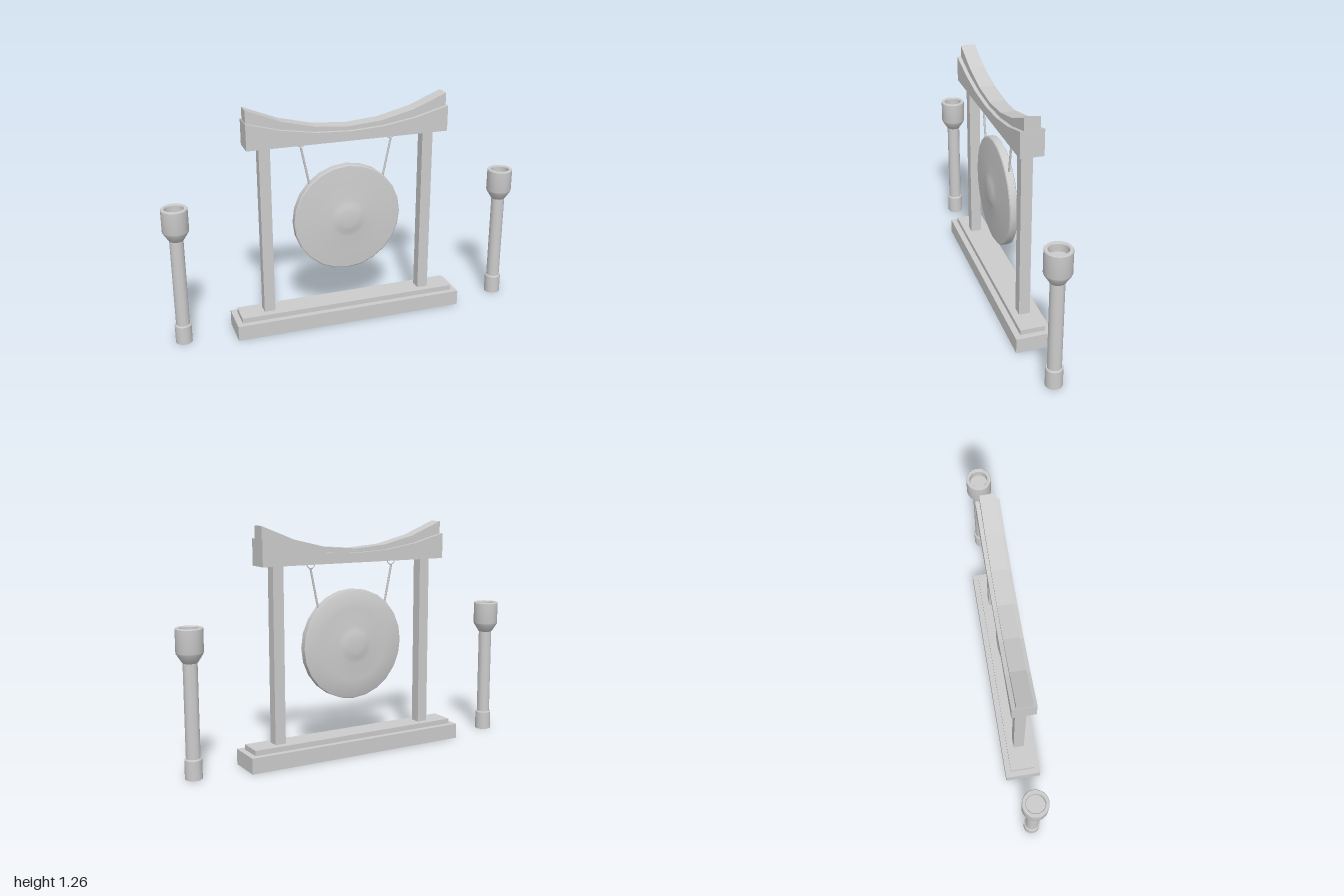
import * as THREE from 'three';
import { toCreasedNormals } from 'three/addons/utils/BufferGeometryUtils.js';

const grey = new THREE.MeshStandardMaterial({ color: 0xcccccc });

function add(parent, name, geometry, x = 0, y = 0, z = 0) {
  const mesh = new THREE.Mesh(geometry, grey);
  mesh.name = name;
  mesh.position.set(x, y, z);
  parent.add(mesh);
  return mesh;
}

// Box resting on height y0
function block(parent, name, w, y0, y1, d, x = 0) {
  return add(parent, name, new THREE.BoxGeometry(w, y1 - y0, d), x, (y0 + y1) / 2);
}

function lathe(profile, sides) {
  const points = profile.map(([r, y]) => new THREE.Vector2(r, y));
  return toCreasedNormals(new THREE.LatheGeometry(points, sides), 0.5);
}

// Beam outline: six straight segments per sagging edge, extruded along z
function saggingBeam(half, top, bottom, depth) {
  const shape = new THREE.Shape();
  const n = 6;
  for (let i = 0; i <= n; i++) {
    const t = (i / n) * 2 - 1;
    if (i === 0) shape.moveTo(t * half, bottom(t));
    else shape.lineTo(t * half, bottom(t));
  }
  for (let i = n; i >= 0; i--) {
    const t = (i / n) * 2 - 1;
    shape.lineTo(t * half, top(t));
  }
  return new THREE.ExtrudeGeometry(shape, { depth, bevelEnabled: false }).translate(0, 0, -depth / 2);
}

export function createModel() {
  const group = new THREE.Group();
  group.name = 'gongSet';

  // Stepped base
  block(group, 'base', 1.3, 0, 0.085, 0.2);
  block(group, 'baseStep', 1.236, 0.085, 0.113, 0.136);

  // Curved crossbeam with a narrower cap following its sag
  const sag = (t) => 1.108 + 0.089 * t * t;
  add(group, 'crossbeam', saggingBeam(0.555, sag, () => 1.057, 0.124));
  add(group, 'crossbeamCap', saggingBeam(0.55, (t) => 1.13 + 0.133 * t * t, (t) => sag(t) - 0.01, 0.082));

  // Domed gong disc with a raised boss on both faces
  const face = [[0.302, 0.02], [0.296, 0.024], [0.2, 0.032], [0.105, 0.037],
    [0.085, 0.04], [0.065, 0.046], [0.045, 0.049], [0, 0.05]];
  const back = face.map(([r, z]) => [r, -z * 0.9]).reverse();
  const gong = lathe([...back, ...face], 24);
  gong.rotateX(Math.PI / 2);
  add(group, 'gong', gong, 0, 0.608);

  // Mallet turned as one piece, with a recessed top
  const mallet = lathe([[0, 0], [0.045, 0], [0.045, 0.102], [0.041, 0.108], [0.037, 0.108],
    [0.037, 0.598], [0.041, 0.602], [0.068, 0.645], [0.07, 0.652], [0.07, 0.77], [0.067, 0.775],
    [0.053, 0.775], [0.05, 0.77], [0.05, 0.73], [0, 0.73]], 24);

  for (const side of [-1, 1]) {
    const prefix = side > 0 ? 'left' : 'right';
    block(group, prefix + 'Post', 0.06, 0.113, 1.06, 0.06, side * 0.455);

    // Hook under the beam and the cord that holds the gong
    add(group, prefix + 'Hook', new THREE.TorusGeometry(0.023, 0.003, 6, 20), side * 0.25, 1.055);
    const cord = new THREE.LineCurve3(
      new THREE.Vector3(side * 0.252, 1.03, 0),
      new THREE.Vector3(side * 0.207, 0.81, 0));
    add(group, prefix + 'Cord', new THREE.TubeGeometry(cord, 1, 0.006, 8));

    add(group, prefix + 'Mallet', mallet, side * 0.93);
  }
  return group;
}
